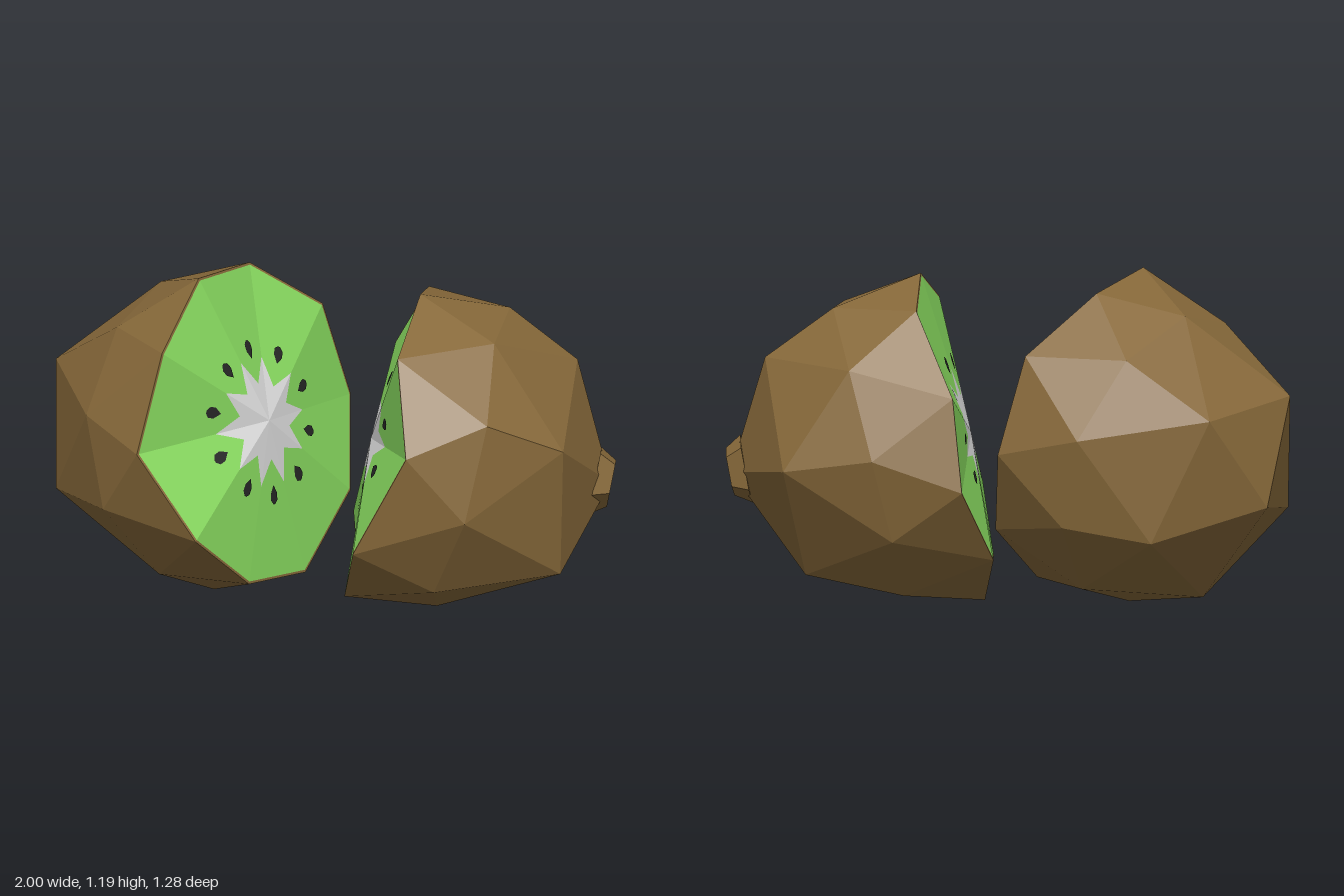
import * as THREE from 'three';

const skin = new THREE.MeshStandardMaterial({ name: 'brown skin', color: 0x87693a });
const flesh = new THREE.MeshStandardMaterial({ name: 'green flesh', color: 0x88da5f });
const core = new THREE.MeshStandardMaterial({ name: 'pale core', color: 0xdadada });
const seed = new THREE.MeshStandardMaterial({ name: 'dark seed', color: 0x262626 });
for (const m of [skin, flesh, core, seed]) m.flatShading = true;

const N = 10;
const V = (p) => new THREE.Vector3(...p);

// Flat-shaded mesh from a list of triangle corners
function facets(name, points, material) {
  const g = new THREE.BufferGeometry().setFromPoints(points);
  g.computeVertexNormals();
  const mesh = new THREE.Mesh(g, material);
  mesh.name = name;
  return mesh;
}

// Half fruit: a faceted dome behind a ten-sided cut rim, with a slightly domed cut face
function half({ name, rim, axis, ring, crown, tip, bulge }) {
  const group = new THREE.Group();
  group.name = name;
  const R = rim.map(V);
  const T = crown.map(V);
  const end = V(tip);
  const u = V(axis).normalize();
  const C = R.reduce((s, p) => s.add(p), new THREE.Vector3()).divideScalar(N);
  const at = (a, i) => a[(i + N) % N];

  // Ten-point ring behind the rim, halfway between the rim corners
  const M = R.map((p, i) => p.clone().lerp(at(R, i + 1), 0.5).addScaledVector(u, ring));
  const centre = C.clone().addScaledVector(u, -bulge);
  const inner = R.map((p) => p.clone().lerp(centre, 0.016));

  const shell = [];
  for (let i = 0; i < N; i++) {
    const a = R[i], b = at(R, i + 1);
    shell.push(a, b, M[i], b, at(M, i + 1), M[i]);
    shell.push(b, a, inner[i], b, inner[i], at(inner, i + 1));
    if (i % 2) {
      const k = (i - 1) / 2;
      const t = T[k], next = T[(k + 1) % 5];
      shell.push(at(M, i - 1), M[i], t, M[i], at(M, i + 1), t);
      shell.push(t, at(M, i + 1), next, t, next, end);
    }
  }
  group.add(facets(name + 'Skin', shell, skin));

  // Cut face: star core, flesh around it, one seed per facet
  const green = [], star = [], seeds = [];
  for (let i = 0; i < N; i++) {
    const a = inner[i], b = at(inner, i + 1);
    const e = a.clone().sub(centre), f = b.clone().sub(centre);
    const spot = (s, t) => centre.clone().addScaledVector(e, s).addScaledVector(f, t);
    const tipA = spot(0.41, 0), tipB = spot(0, 0.41), valley = spot(0.125, 0.125);
    star.push(centre, valley, tipA, centre, tipB, valley);
    green.push(tipA, valley, a, a, valley, b, b, valley, tipB);

    // Teardrop seed, pointed towards the core
    const lift = f.clone().cross(e).normalize().multiplyScalar(0.004);
    const drop = [[-0.065, 0], [-0.01, -0.055], [0.035, -0.055], [0.06, -0.015], [0.06, 0.015], [0.035, 0.055], [-0.01, 0.055]]
      .map(([r, w]) => spot((0.48 + r) / 2 - w, (0.48 + r) / 2 + w).add(lift));
    for (let k = 1; k < drop.length - 1; k++) seeds.push(drop[0], drop[k + 1], drop[k]);
  }
  // Wind the seed plates to face out of the cut
  const n = new THREE.Triangle(seeds[0], seeds[1], seeds[2]).getNormal(new THREE.Vector3());
  if (n.dot(u) > 0) seeds.reverse();
  group.add(
    facets(name + 'Flesh', green, flesh),
    facets(name + 'Core', star, core),
    facets(name + 'Seeds', seeds, seed),
  );
  return group;
}

export function createModel() {
  const model = new THREE.Group();
  model.name = 'halvedFruit';

  const right = half({
    name: 'rightHalf',
    rim: [
      [-0.49, 1.19, 0.04], [-0.31, 1.15, -0.28], [-0.05, 0.95, -0.43], [0.05, 0.6, -0.47], [0.05, 0.3, -0.28],
      [-0.11, 0.08, 0], [-0.31, 0.12, 0.27], [-0.5, 0.34, 0.47], [-0.71, 0.65, 0.42], [-0.62, 1.0, 0.33],
    ],
    crown: [
      [-0.7, 0.74, -0.62], [-0.49, 0.3, -0.625], [-0.69, 0.05, -0.28], [-1, 0.35, -0.14], [-1, 0.78, -0.31],
    ],
    axis: [-0.73, -0.324, -0.606], ring: 0.31, tip: [-0.91, 0.41, -0.51], bulge: 0.085,
  });

  const stemAxis = V([0.98, -0.187, 0.056]).normalize();
  const left = half({
    name: 'leftHalf',
    rim: [
      [0.3, 1.16, 0.13], [0.22, 1.02, 0.46], [0.25, 0.7, 0.64], [0.06, 0.33, 0.59], [0.03, 0.1, 0.35],
      [0.08, 0.015, -0.1], [0.06, 0.2, -0.35], [0.18, 0.47, -0.52], [0.21, 0.8, -0.45], [0.33, 1.08, -0.22],
    ],
    crown: [
      [0.81, 0.67, 0.45], [0.8, 0.2, 0.4], [0.72, 0.11, -0.1], [0.81, 0.52, -0.33], [0.86, 0.88, 0.01],
    ],
    axis: stemAxis.toArray(), ring: 0.31, tip: [0.978, 0.45, 0.105], bulge: 0.05,
  });

  // Five-sided stem end, barely proud of the skin
  const stem = new THREE.Mesh(new THREE.CylinderGeometry(0.09, 0.13, 0.06, 5, 1, false, 0.1), skin);
  stem.name = 'stemEnd';
  stem.position.set(0.982, 0.45, 0.105).addScaledVector(stemAxis, -0.03);
  stem.quaternion.setFromUnitVectors(new THREE.Vector3(0, 1, 0), stemAxis);
  left.add(stem);

  model.add(right, left);
  return model;
}
